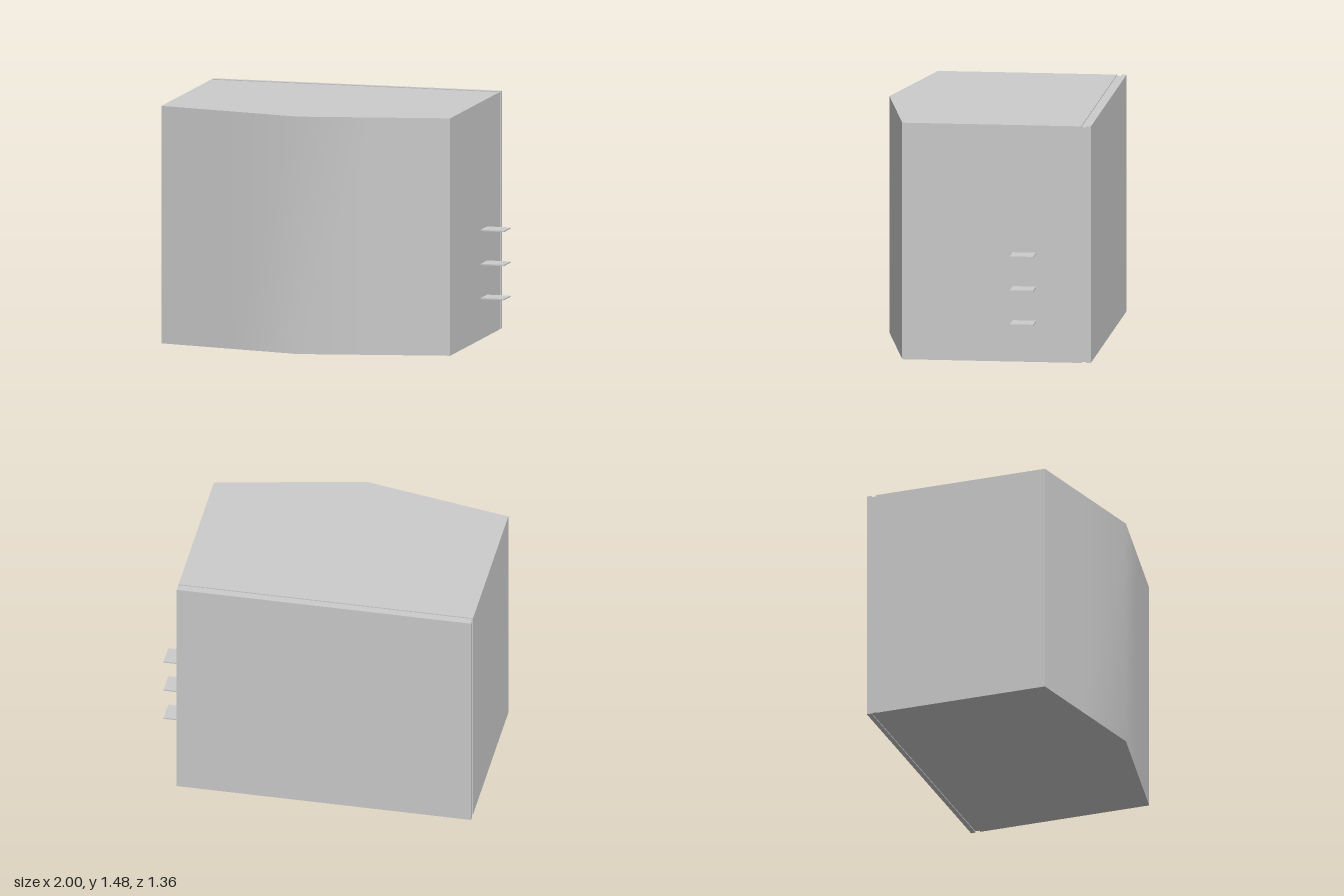
import * as THREE from 'three';

const material = new THREE.MeshStandardMaterial({ color: 0xcccccc });

const CX = -0.075, WIDTH = 1.85, HEIGHT = 1.48;
const FRONT = 0.49, TIP = 0.68, BACK = -0.68;

export function createModel() {
  const model = new THREE.Group();
  model.name = 'cabinet';

  const add = (name, geometry, x = 0, y = 0, z = 0) => {
    const mesh = new THREE.Mesh(geometry, material);
    mesh.name = name;
    mesh.position.set(x, y, z);
    model.add(mesh);
    return mesh;
  };
  const slab = (name, z0, z1, inset = 0) =>
    add(name, new THREE.BoxGeometry(WIDTH - 2 * inset, HEIGHT - 2 * inset, z1 - z0),
      CX, HEIGHT / 2, (z0 + z1) / 2);

  // Main case, a shallow seam and the back panel
  slab('body', -0.62, FRONT);
  slab('backSeam', -0.65, -0.62, 0.006);
  slab('backPanel', BACK, -0.65);

  // Front panel pushed out to a central ridge, softly shaded
  const front = new THREE.PlaneGeometry(WIDTH, HEIGHT, 4, 1);
  const p = front.attributes.position;
  for (let i = 0; i < p.count; i++) {
    p.setZ(i, (TIP - FRONT) * (1 - Math.abs(p.getX(i)) / (WIDTH / 2)));
  }
  front.computeVertexNormals();
  add('frontPanel', front, CX, HEIGHT / 2, FRONT);

  // Triangular caps closing the front panel above and below
  const cap = new THREE.Shape([
    new THREE.Vector2(-WIDTH / 2, 0),
    new THREE.Vector2(0, FRONT - TIP),
    new THREE.Vector2(WIDTH / 2, 0),
  ]);
  const topCap = new THREE.ShapeGeometry(cap).rotateX(-Math.PI / 2);
  add('topCap', topCap, CX, HEIGHT, FRONT);
  const bottomCap = topCap.clone().rotateZ(Math.PI);
  add('bottomCap', bottomCap, CX, 0, FRONT);

  // Three thin tabs on the left side
  for (const y of [0.255, 0.468, 0.68]) {
    add('sideTab', new THREE.BoxGeometry(0.15, 0.008, 0.145), 0.925, y, -0.268);
  }

  return model;
}
